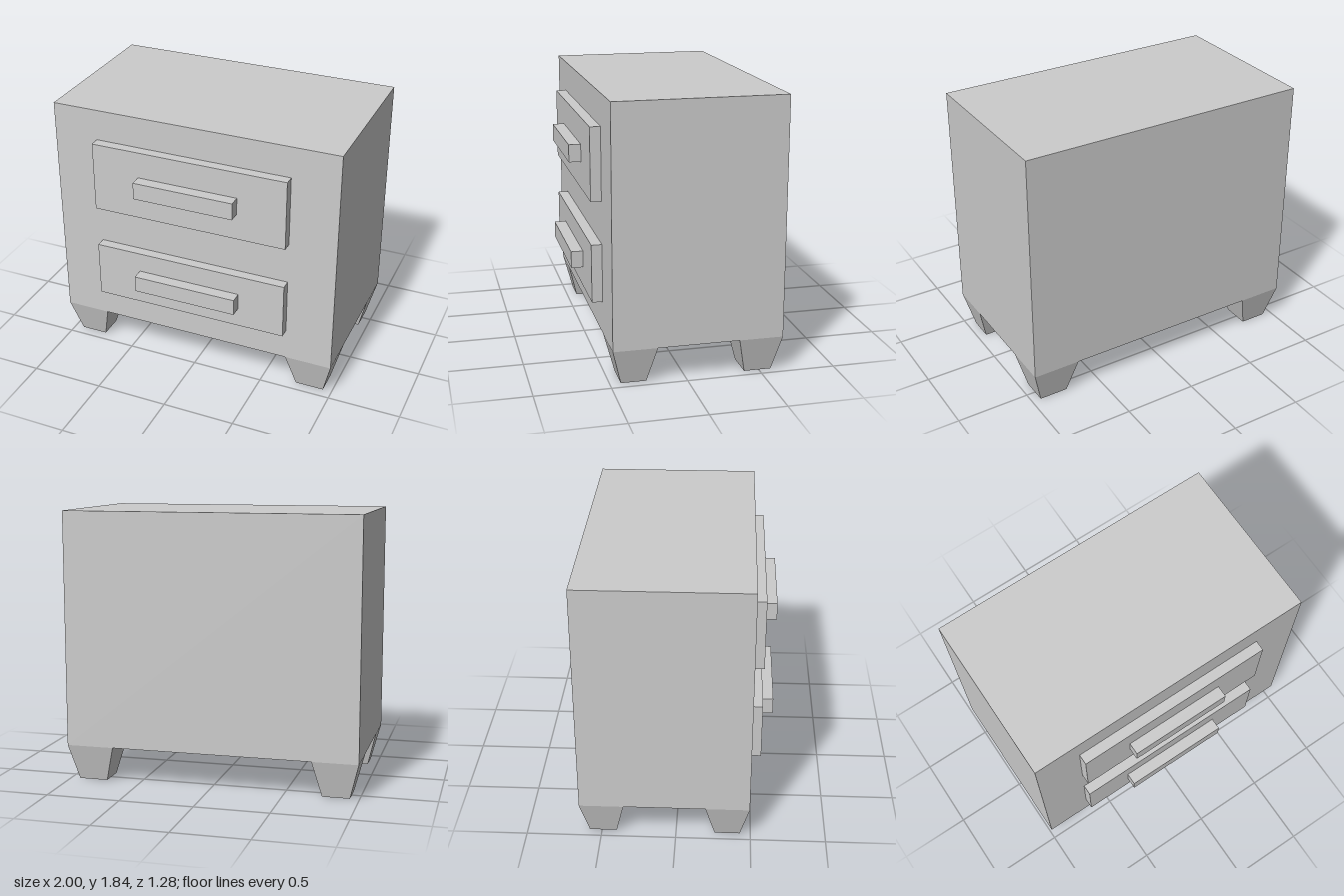
import * as THREE from 'three';

const material = new THREE.MeshStandardMaterial({ color: 0xcccccc, flatShading: true });

// Box given by its [min, max] extents on each axis
function block(name, [x0, x1], [y0, y1], [z0, z1]) {
  const geometry = new THREE.BoxGeometry(x1 - x0, y1 - y0, z1 - z0);
  geometry.translate((x0 + x1) / 2, (y0 + y1) / 2, (z0 + z1) / 2);
  const mesh = new THREE.Mesh(geometry, material);
  mesh.name = name;
  return mesh;
}

// Leg: a block whose lower corners move inward to a smaller foot
function taperedLeg(name, topX, topZ, footX, footZ, height) {
  const mesh = block(name, topX, [0, height], topZ);
  const p = mesh.geometry.attributes.position;
  const midX = (topX[0] + topX[1]) / 2;
  const midZ = (topZ[0] + topZ[1]) / 2;
  for (let i = 0; i < p.count; i++) {
    if (p.getY(i) > height / 2) continue;
    p.setX(i, footX[p.getX(i) < midX ? 0 : 1]);
    p.setZ(i, footZ[p.getZ(i) < midZ ? 0 : 1]);
  }
  mesh.geometry.computeVertexNormals();
  return mesh;
}

export function createModel() {
  const model = new THREE.Group();
  model.name = 'nightstand';
  const bodyBottom = 0.245;
  const bodyFront = 0.49;
  const panelFront = 0.56;

  // Cabinet
  model.add(block('cabinet', [-1, 1], [bodyBottom, 1.84], [-0.64, bodyFront]));

  // Drawer fronts with their bar handles
  const drawers = [
    { name: 'upper', y: [1.143, 1.627], handleX: [-0.358, 0.34], handleY: [1.327, 1.445] },
    { name: 'lower', y: [0.465, 0.855], handleX: [-0.374, 0.355], handleY: [0.602, 0.716] },
  ];
  for (const d of drawers) {
    model.add(block(d.name + 'Drawer', [-0.69, 0.675], d.y, [bodyFront, panelFront]));
    model.add(block(d.name + 'Handle', d.handleX, d.handleY, [panelFront, 0.64]));
  }

  // Four tapered legs, one at each corner
  const sides = [
    { name: 'Right', top: [-1, -0.69], foot: [-0.937, -0.753] },
    { name: 'Left', top: [0.675, 1], foot: [0.74, 0.937] },
  ];
  const ends = [
    { name: 'front', top: [0.197, bodyFront], foot: [0.26, 0.428] },
    { name: 'back', top: [-0.64, -0.346], foot: [-0.582, -0.4] },
  ];
  for (const e of ends) {
    for (const s of sides) {
      model.add(taperedLeg(e.name + s.name + 'Leg', s.top, e.top, s.foot, e.foot, bodyBottom));
    }
  }
  return model;
}
